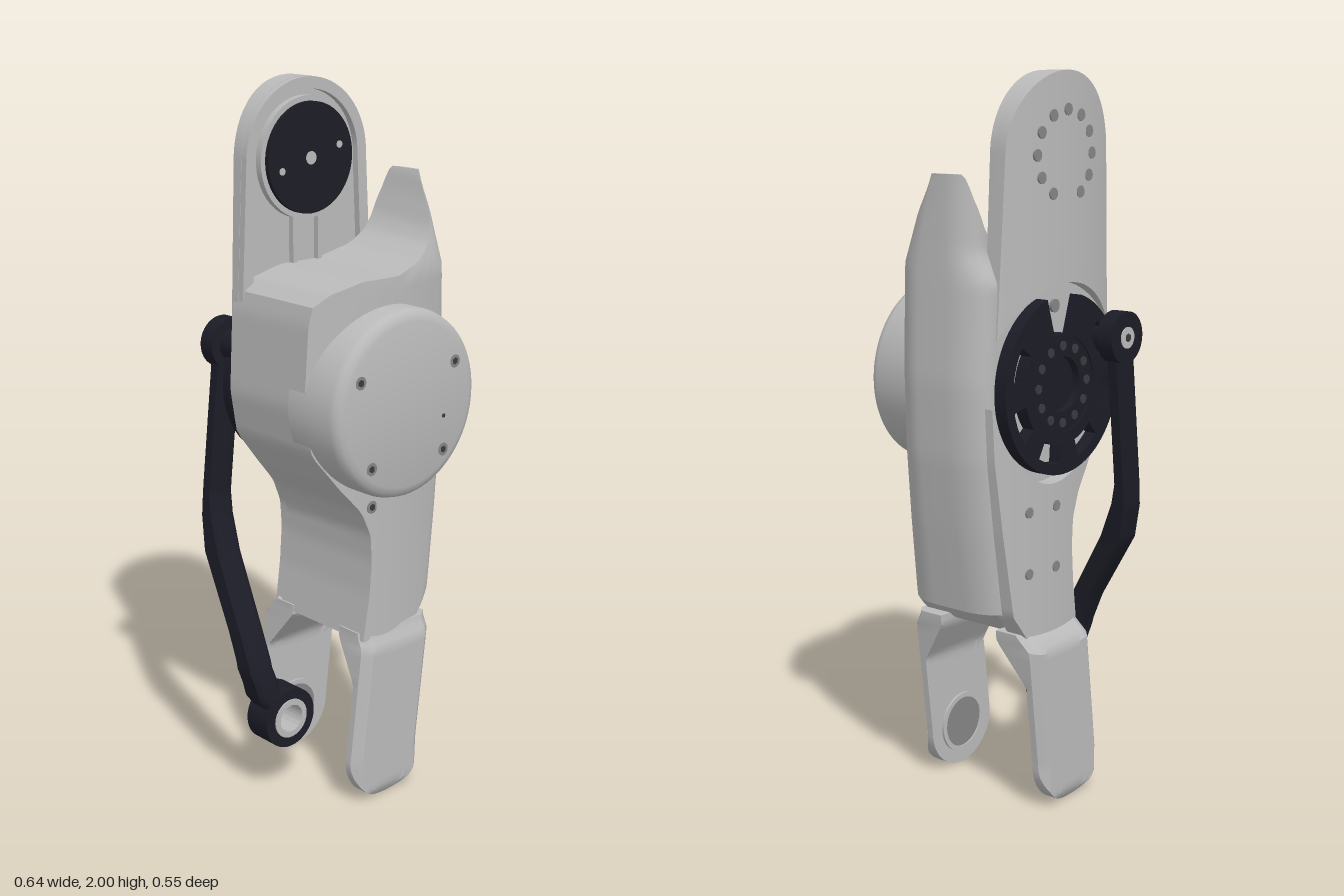
import * as THREE from 'three';
import { toCreasedNormals } from 'three/addons/utils/BufferGeometryUtils.js';

const { sqrt, abs, min, max, PI } = Math;
const mat = (name, color) => Object.assign(new THREE.MeshStandardMaterial({ color }), { name });

// piecewise-linear rule through [input, value] points
const rule = (...p) => (t) => {
  if (t <= p[0][0]) return p[0][1];
  for (let i = 1; i < p.length; i++) {
    if (t <= p[i][0]) {
      const k = (t - p[i - 1][0]) / (p[i][0] - p[i - 1][0]);
      return p[i - 1][1] + k * (p[i][1] - p[i - 1][1]);
    }
  }
  return p[p.length - 1][1];
};

// closed solid between left/right edges (by y), bottom/top edges (by u) and front/back surfaces (by x, y)
function loft({ left, right, bottom, top, front, back, n = 28, rows = 28 }) {
  const pos = [], idx = [], N = 2 * n + 2;
  for (let j = 0; j <= rows; j++) {
    for (let k = 0; k < N; k++) {
      const i = k <= n ? k : N - 1 - k;
      const u = (1 - Math.cos(PI * i / n)) / 2;
      const y = bottom(u) + (top(u) - bottom(u)) * j / rows;
      const x = left(y) + (right(y) - left(y)) * u;
      pos.push(x, y, (k <= n ? front : back)(x, y));
    }
  }
  const quad = (a, b, c, d) => idx.push(a, b, c, a, c, d);
  for (let j = 0; j < rows; j++) {
    for (let k = 0; k < N; k++) {
      const a = j * N + k, b = j * N + (k + 1) % N;
      quad(a, b, b + N, a + N);
    }
  }
  const T = rows * N;
  for (let i = 0; i < n; i++) {
    quad(T + i, T + i + 1, T + N - 2 - i, T + N - 1 - i);
    quad(N - 1 - i, N - 2 - i, i + 1, i);
  }
  const g = new THREE.BufferGeometry();
  g.setAttribute('position', new THREE.Float32BufferAttribute(pos, 3));
  g.setIndex(idx);
  return toCreasedNormals(g, 0.55);
}

export function createModel() {
  const model = new THREE.Group();
  const grey = mat('shellGrey', 0xbababa);
  const dark = mat('darkMetal', 0x1c1c27);
  const hole = mat('holeGrey', 0x858587);
  const black = mat('socketBlack', 0x3a3a40);

  const add = (name, geo, material) => {
    const m = new THREE.Mesh(geo, material);
    m.name = name;
    model.add(m);
    return m;
  };
  const disc = (name, x, y, z0, z1, r, material, seg = 48) => {
    const g = new THREE.CylinderGeometry(r, r, z1 - z0, seg).rotateX(PI / 2);
    return add(name, g.translate(x, y, (z0 + z1) / 2), material);
  };
  const slab = (name, shape, z0, z1, material) =>
    add(name, toCreasedNormals(new THREE.ExtrudeGeometry(shape,
      { depth: z1 - z0, bevelEnabled: false, curveSegments: 40 }).translate(0, 0, z0), 0.5), material);
  const circle = (x, y, r, S = THREE.Shape) => {
    const s = new S();
    s.absarc(x, y, r, 0, 2 * PI);
    return s;
  };
  const annulus = (x, y, r, ri) => {
    const s = circle(x, y, r);
    s.holes.push(circle(x, y, ri, THREE.Path));
    return s;
  };

  // main shell
  const xl = rule([0.49, -0.078], [0.62, -0.058], [0.72, -0.05], [0.8, -0.055], [0.87, -0.085],
    [0.95, -0.155], [1.05, -0.23], [1.175, -0.25], [1.4, -0.238], [1.5, -0.215]);
  const xr = rule([0.49, 0.19], [0.57, 0.245], [0.8, 0.28], [1, 0.306], [1.2, 0.316], [1.45, 0.306], [1.74, 0.292]);
  const zf = rule([1.5, 0.19], [1.64, 0.14], [1.74, 0.08]);
  const zb = rule([1.46, -0.165], [1.54, -0.125]);
  const side = (x, y) => {
    const s = min(1, max(0, (xr(y) - x) / 0.065));
    return 0.35 + 0.65 * sqrt(1 - (1 - s) ** 2);
  };
  add('mainShell', loft({
    left: xl, right: xr,
    bottom: rule([0.72, 0.49], [0.88, 0.57]),
    top: rule([0, 1.45], [0.08, 1.48], [0.25, 1.503], [0.5, 1.503], [0.7, 1.53], [0.82, 1.565],
      [0.88, 1.605], [0.94, 1.68], [0.975, 1.74]),
    front: (x, y) => (zf(y) - 0.05 * (x / 0.25) ** 2) * side(x, y),
    back: (x, y) => zb(y) * side(x, y), n: 44, rows: 44,
  }), grey);

  // lower back cover, cut round the rotor
  const arc = (x) => sqrt(max(0, 0.262 ** 2 - x * x));
  const coverBack = (x) => -0.21 + 0.04 * ((x - 0.06) / 0.25) ** 2;
  add('lowerBackCover', loft({
    left: (y) => xl(y) + 0.01, right: (y) => xr(y) - 0.04,
    bottom: () => 0.5, top: (u) => 1.175 - arc(-0.2 + 0.46 * u),
    front: () => -0.14, back: coverBack,
  }), grey);

  // upper mounting plate with raised rim
  const half = rule([1.3, 0.24], [1.785, 0.215]);
  const plateBack = (x) => -0.21 + 0.042 * (x / 0.24) ** 2;
  add('upperPlate', loft({
    left: (y) => -half(y), right: half,
    bottom: (u) => 1.175 + sqrt(0.275 ** 2 - (0.47 * (u - 0.5)) ** 2),
    top: (u) => 1.785 + 0.215 * sqrt(max(0, 1 - (2 * u - 1) ** 2)),
    front: () => -0.145, back: plateBack,
  }), grey);
  const arch = (r, w, y, S) => {
    const s = new S();
    s.moveTo(-w, y);
    s.lineTo(w, y);
    s.lineTo(r, 1.785);
    s.absarc(0, 1.785, r, 0, PI);
    s.closePath();
    return s;
  };
  const rim = arch(0.214, 0.233, 1.42, THREE.Shape);
  rim.holes.push(arch(0.182, 0.197, 1.46, THREE.Path));
  slab('plateRim', rim, -0.15, -0.125, grey);
  for (const x of [-0.045, 0.045]) {
    add('plateRib', new THREE.BoxGeometry(0.014, 0.2, 0.02).translate(x, 1.56, -0.138), grey);
  }

  // upper joint disc
  disc('jointBoss', 0, 1.785, -0.15, -0.125, 0.165, grey);
  disc('jointDisc', 0, 1.785, -0.13, -0.112, 0.15, dark, 64);
  disc('jointCentre', 0, 1.785, -0.115, -0.11, 0.018, grey, 20);
  for (const s of [-1, 1]) disc('jointPin', s * 0.102, 1.785 + s * 0.028, -0.115, -0.11, 0.01, grey, 16);

  // screw holes
  for (let i = 0; i < 11; i++) {
    const a = -PI / 2 + 2 * PI * (i + 1) / 12;
    const x = 0.115 * Math.cos(a), z = plateBack(x);
    disc('plateHole', x, 1.785 + 0.115 * Math.sin(a), z - 0.003, z + 0.006, 0.016, hole, 16);
  }
  for (const x of [0.04, 0.15]) {
    for (const y of [0.68, 0.85]) {
      disc('coverHole', x, y, coverBack(x) - 0.003, coverBack(x) + 0.006, 0.015, hole, 16);
    }
  }

  // round motor cover on the front
  const profile = [[0, 0.27], [0.225, 0.27], [0.242, 0.265], [0.253, 0.255], [0.258, 0.238], [0.258, 0.08], [0, 0.08]]
    .reverse().map(([r, h]) => new THREE.Vector2(r, h));
  add('motorCover', toCreasedNormals(new THREE.LatheGeometry(profile, 72), 0.6)
    .rotateX(PI / 2).translate(0.005, 1.173, 0), grey);
  for (const [x, y, z] of [[-0.17, 1.265, 0.27], [0.175, 1.265, 0.27], [-0.13, 1.025, 0.27], [0.135, 1.025, 0.27], [-0.05, 0.88, 0.188]]) {
    disc('screwRim', x, y, z - 0.006, z + 0.001, 0.018, hole, 20);
    disc('screwSocket', x, y, z - 0.005, z + 0.002, 0.01, black, 6);
  }
  disc('indicatorHole', 0.135, 1.12, 0.266, 0.271, 0.006, black, 10);

  // rotor on the back: notched, slotted ring round a hub
  const sector = (r0, r1, a0, a1, S) => {
    const s = new S();
    s.absarc(0, 1.175, r1, a0, a1, false);
    s.absarc(0, 1.175, r0, a1, a0, true);
    s.closePath();
    return s;
  };
  const outer = sector(0.13, 0.246, PI / 2 + 0.3, 2.5 * PI - 0.3, THREE.Shape);
  for (let i = 0; i < 6; i++) {
    const a = PI / 2 + 0.75 + i * 0.82;
    outer.holes.push(sector(0.165, 0.215, a, a + 0.45, THREE.Path));
  }
  slab('rotorRing', outer, -0.203, -0.16, dark);
  slab('rotorHub', annulus(0, 1.175, 0.138, 0.075), -0.198, -0.16, dark);
  disc('rotorCore', 0, 1.175, -0.175, -0.16, 0.08, dark);
  for (let i = 0; i < 12; i++) {
    const a = i * PI / 6;
    disc('rotorBolt', 0.105 * Math.cos(a), 1.175 + 0.105 * Math.sin(a), -0.201, -0.196, 0.013, black, 12);
  }
  disc('rotorNotchScrew', 0, 1.385, -0.173, -0.16, 0.018, hole, 16);

  // push rod with two eyes
  const mid = rule([0.26, -0.222], [0.32, -0.265], [0.4, -0.282], [0.5, -0.28], [0.7, -0.262], [0.9, -0.242], [1.28, -0.2]);
  const zr = rule([0.3, -0.022], [0.36, -0.028], [0.42, -0.045], [0.5, -0.08], [0.6, -0.14], [0.7, -0.2], [0.8, -0.232], [0.86, -0.24]);
  const thick = rule([0.3, 0.042], [0.5, 0.038], [0.7, 0.042], [0.86, 0.026]);
  const rodEdge = (x, y) => 0.012 * max(0, abs(x - mid(y)) - 0.025) / 0.014;
  add('pushRod', loft({
    left: (y) => mid(y) - 0.039, right: (y) => mid(y) + 0.039,
    bottom: () => 0.28, top: () => 1.28,
    front: (x, y) => zr(y) + thick(y) - rodEdge(x, y),
    back: (x, y) => zr(y) - thick(y) + rodEdge(x, y), n: 12, rows: 50,
  }), dark);
  slab('lowerRodEye', annulus(-0.205, 0.242, 0.087, 0.052), -0.064, 0.022, dark);
  slab('lowerRodBush', annulus(-0.205, 0.242, 0.057, 0.04), -0.068, 0.026, grey);
  disc('upperRodEye', -0.197, 1.285, -0.268, -0.218, 0.072, dark);
  disc('upperRodPivot', -0.197, 1.285, -0.23, -0.165, 0.045, dark);
  disc('upperRodBolt', -0.197, 1.285, -0.271, -0.26, 0.03, grey, 24);
  disc('upperRodSocket', -0.197, 1.285, -0.273, -0.265, 0.012, black, 6);

  // lower fork: two prongs with round ends that lean in under the shell
  const fl = rule([0.128, -0.125], [0.5, -0.08]);
  const fr = rule([0.128, 0.13], [0.5, 0.175]);
  const bevel = (x, y) => {
    const e = abs((x - fl(y)) / (fr(y) - fl(y)) * 2 - 1);
    return 0.022 * max(max(0, (e - 0.8) / 0.2), max(0, 1 - y / 0.03));
  };
  const prong = (name, s, outerZ, innerZ) => {
    const far = (x, y) => s * (outerZ(y) - bevel(x, y));
    const near = (x, y) => s * innerZ(y);
    add(name, loft({
      left: fl, right: fr,
      bottom: (u) => 0.128 - 0.126 * sqrt(max(0, 1 - (2 * u - 1) ** 2)), top: () => 0.51,
      front: s > 0 ? far : near, back: s > 0 ? near : far,
    }), grey);
  };
  prong('frontProng', 1, rule([0.465, 0.207], [0.5, 0.186]), rule([0.36, 0.165], [0.48, 0.09]));
  prong('backProng', -1, rule([0.465, 0.245], [0.51, 0.2]), rule([0.36, 0.203], [0.48, 0.11]));

  // bearing seats inside the prongs
  for (const [z0, z1] of [[0.158, 0.168], [-0.206, -0.196]]) {
    slab('bearingSeat', annulus(0.002, 0.128, 0.088, 0.074), z0, z1, grey);
  }
  disc('bearingFaceFront', 0.002, 0.128, 0.162, 0.168, 0.075, hole);
  disc('bearingFaceBack', 0.002, 0.128, -0.206, -0.2, 0.075, hole);
  return model;
}
